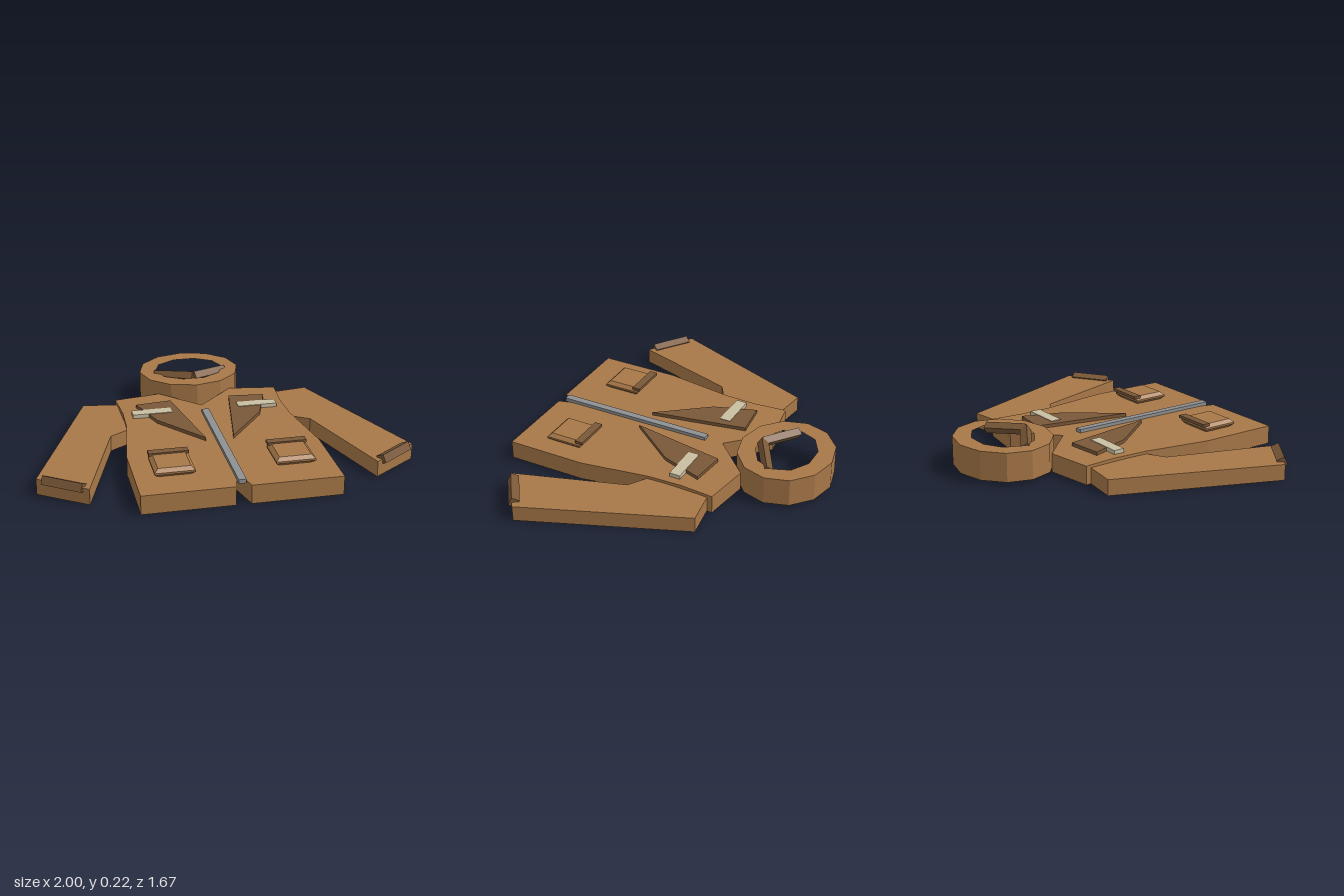
import * as THREE from 'three';

const mat = (name, color) => {
  const m = new THREE.MeshStandardMaterial({ color, flatShading: true });
  m.name = name;
  return m;
};

export function createModel() {
  const group = new THREE.Group();
  const cloth = mat('tan cloth', 0xa87848);
  const trim = mat('dark brown trim', 0x7a5838);
  const metal = mat('zip grey', 0x8e9092);
  const strip = mat('pale strip', 0xc9bfa2);

  const add = (name, geometry, material) => {
    const mesh = new THREE.Mesh(geometry, material);
    mesh.name = name;
    group.add(mesh);
    return mesh;
  };

  // Flat panel: outline in (x, z), raised from y0 to y1
  const vec = (pts) => pts.map(([x, z]) => new THREE.Vector2(x, -z));
  const panel = (name, pts, y0, y1, material, hole) => {
    const shape = new THREE.Shape(vec(pts));
    if (hole) shape.holes.push(new THREE.Path(vec(hole)));
    const g = new THREE.ExtrudeGeometry(shape, { depth: y1 - y0, bevelEnabled: false });
    g.rotateX(-Math.PI / 2).translate(0, y0, 0);
    return add(name, g, material);
  };
  const box = (name, size, pos, material) =>
    add(name, new THREE.BoxGeometry(...size), material).position.set(...pos);

  // Square bar running from a to b, rolled about its length
  const bar = (name, a, b, thick, roll, material) => {
    const p = new THREE.Vector3(...a), q = new THREE.Vector3(...b);
    const x = q.clone().sub(p);
    const g = new THREE.BoxGeometry(x.length(), thick, thick).rotateX(roll);
    x.normalize();
    const z = x.clone().cross(new THREE.Vector3(0, 1, 0)).normalize();
    g.applyMatrix4(new THREE.Matrix4().makeBasis(x, z.clone().cross(x), z));
    add(name, g, material).position.copy(p.add(q).multiplyScalar(0.5));
  };

  // Body with open neckline and notched hem
  const half = [[0.21, -0.41], [0.47, -0.37], [0.455, -0.18], [0.462, 0.01],
    [0.52, 0.39], [0.52, 0.835], [0.04, 0.835]];
  const mirrored = half.map(([x, z]) => [-x, z]).reverse();
  panel('body', [[0, -0.2], ...half, [0, 0.68], ...mirrored], 0, 0.103, cloth);

  // Hood ring
  const ellipse = (n, rx, rz) => Array.from({ length: n }, (_, i) => {
    const a = (i / n) * Math.PI * 2;
    return [rx * Math.cos(a), -0.58 + rz * Math.sin(a)];
  });
  panel('hood', ellipse(12, 0.292, 0.26), 0.02, 0.178, cloth, ellipse(10, 0.2, 0.163));

  // Zip
  box('zip', [0.04, 0.022, 0.9], [0, 0.111, 0.35], metal);

  for (const s of [1, -1]) {
    const side = s > 0 ? 'left' : 'right';
    const flip = (pts) => pts.map(([x, z]) => [s * x, z]);
    // Bars always run toward +x so the roll matches on both sides
    const pairBar = (name, a, b, ...rest) => {
      const p = [s * a[0], a[1], a[2]], q = [s * b[0], b[1], b[2]];
      bar(name, ...(s > 0 ? [p, q] : [q, p]), ...rest);
    };

    // Sleeve and cuff
    panel(side + 'Sleeve', flip([[0.465, -0.34], [0.655, -0.367], [1, 0.51],
      [0.75, 0.68], [0.56, 0.08], [0.455, 0.015]]), 0, 0.087, cloth);
    pairBar(side + 'Cuff', [0.777, 0.083, 0.652], [0.963, 0.083, 0.522], 0.046, -0.45, trim);

    // Collar band
    pairBar(side + 'Collar', [0, 0.186, -0.44], [0.205, 0.163, -0.562], 0.043, -0.6, trim);

    // Lapel and chest strip
    panel(side + 'Lapel', flip([[0.17, -0.257], [0.37, -0.235], [0.29, 0], [0.075, 0.28]]),
      0.1, 0.122, trim);
    box(side + 'ChestStrip', [0.22, 0.022, 0.062], [s * 0.3, 0.114, -0.12], strip);

    // Bevelled pocket and flap
    const w = 0.085, d = 0.083;
    const pocket = new THREE.ExtrudeGeometry(
      new THREE.Shape(vec([[-w, -d], [w, -d], [w, d], [-w, d]])),
      { depth: 0.01, bevelSize: 0.02, bevelThickness: 0.018, bevelSegments: 1 });
    pocket.rotateX(-Math.PI / 2);
    add(side + 'Pocket', pocket, cloth).position.set(s * 0.315, 0.121, 0.562);
    box(side + 'PocketFlap', [0.21, 0.016, 0.045], [s * 0.315, 0.149, 0.463], trim);
  }
  return group;
}
